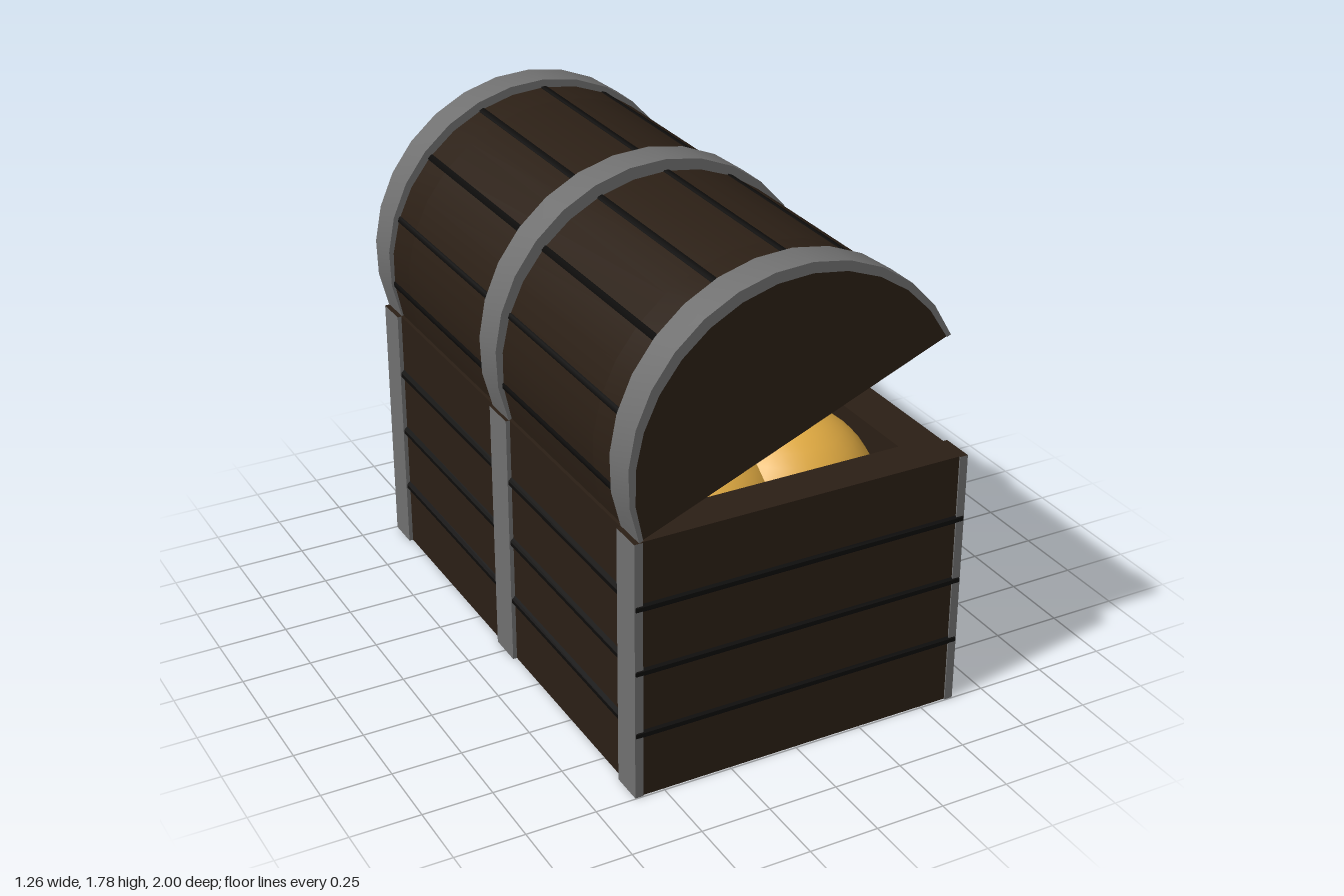
import * as THREE from 'three';
import { toCreasedNormals } from 'three/addons/utils/BufferGeometryUtils.js';

const material = (color) => new THREE.MeshStandardMaterial({ color });

export function createModel() {
  const wood = material(0x2b1f15);
  const dark = material(0x0d0c0b);
  const iron = material(0x707070);
  const gold = material(0xe0aa42);

  const model = new THREE.Group();
  model.name = 'treasureChest';

  const add = (parent, name, geometry, mat, x = 0, y = 0, z = 0) => {
    const mesh = new THREE.Mesh(geometry, mat);
    mesh.name = name;
    mesh.position.set(x, y, z);
    parent.add(mesh);
    return mesh;
  };

  // Rectangular outline with half sizes w and d
  const rectPoints = (w, d) =>
    [[-w, -d], [w, -d], [w, d], [-w, d]].map(([x, y]) => new THREE.Vector2(x, y));

  // Upright rectangular frame, starting at y = 0
  const frame = (w, d, holeW, holeD, options) => {
    const shape = new THREE.Shape(rectPoints(w, d));
    shape.holes.push(new THREE.Path(rectPoints(holeW, holeD)));
    const geometry = new THREE.ExtrudeGeometry(shape, options);
    geometry.rotateX(-Math.PI / 2);
    return geometry;
  };

  // --- Open box ---
  const box = new THREE.Group();
  box.name = 'chestBox';
  box.position.x = 0.012;
  model.add(box);
  const halfW = 0.603, halfD = 0.992, height = 0.95;
  add(box, 'boxWalls', frame(halfW, halfD, 0.45, 0.84, { depth: height, bevelEnabled: false }), wood);
  add(box, 'boxFloor', new THREE.BoxGeometry(1.0, 0.1, 1.8), wood, 0, 0.052, 0);

  // Pointed dark seams running round the box between the planks
  const bevel = 0.014;
  for (const y of [0.24, 0.475, 0.713]) {
    const seam = frame(halfW - 0.002, halfD - 0.006, 0.5, 0.9, {
      depth: 0.014, bevelSize: bevel, bevelThickness: bevel, bevelSegments: 1,
    });
    add(box, 'plankSeam', seam, dark, 0, y - 0.007, 0);
  }

  // Upright iron straps, with wood-coloured ends
  const strapMaterials = [iron, iron, wood, wood, iron, iron];
  const strapZ = [-0.937, 0, 0.937];
  for (const side of [-1, 1]) {
    for (const z of strapZ) {
      add(box, 'boxStrap', new THREE.BoxGeometry(0.03, height, z ? 0.12 : 0.13),
        strapMaterials, side * 0.603, height / 2, z);
    }
  }

  // --- Arched lid, hinged open along the -x edge ---
  const lid = new THREE.Group();
  lid.name = 'lid';
  lid.position.set(-0.03, 1.182, 0);
  lid.rotation.z = 0.389;
  model.add(lid);

  // Points of an arc over a chord of half width a, with rise h, from +x to -x
  const arc = (a, h, segments = 14) => {
    const r = (a * a + h * h) / (2 * h);
    const start = Math.atan2(r - h, a);
    return Array.from({ length: segments + 1 }, (_, i) => {
      const t = start + (Math.PI - 2 * start) * i / segments;
      return new THREE.Vector2(r * Math.cos(t), h - r + r * Math.sin(t));
    });
  };

  const extrudeZ = (points, depth) => {
    const geometry = new THREE.ExtrudeGeometry(new THREE.Shape(points), { depth, bevelEnabled: false });
    geometry.translate(0, 0, -depth / 2);
    return toCreasedNormals(geometry, 0.4);
  };

  // Middle section with a shallow recess below, closed by solid ends
  const lidA = 0.598, lidH = 0.555;
  const recess = [[-0.46, 0], [-0.46, 0.1], [0.46, 0.1], [0.46, 0]].map(([x, y]) => new THREE.Vector2(x, y));
  add(lid, 'lidMiddle', extrudeZ([...arc(lidA, lidH), ...recess], 1.46), wood);
  for (const side of [-1, 1]) {
    add(lid, 'lidEnd', extrudeZ(arc(lidA, lidH), 0.265), wood, 0, 0, side * 0.8625);
  }

  // Dark seams along the lid
  const lidR = (lidA * lidA + lidH * lidH) / (2 * lidH);
  for (let k = -3; k <= 3; k++) {
    const angle = Math.PI / 2 + k * 0.425;
    const r = lidR - 0.012;
    const seamGeometry = new THREE.CylinderGeometry(0.018, 0.018, 1.96, 6);
    seamGeometry.rotateX(Math.PI / 2);
    const seam = add(lid, 'lidSeam', seamGeometry, dark,
      r * Math.cos(angle), lidH - lidR + r * Math.sin(angle), 0);
    seam.rotation.z = angle;
  }

  // Curved iron straps
  for (const z of strapZ) {
    const outer = z ? arc(0.605, 0.587) : arc(0.61, 0.6);
    const inner = arc(lidA - 0.008, lidH - 0.008).reverse();
    add(lid, 'lidStrap', extrudeZ([...outer, ...inner], z ? 0.125 : 0.13), iron, 0, 0, z);
  }

  // --- Heaped gold ---
  const balls = [
    [0.474, 0.015, 0.802, 0],
    [0.49, 0.015, 0.665, -0.46],
    [0.325, -0.19, 0.71, 0.58],
    [0.325, 0.18, 0.71, 0.58],
  ];
  for (const [r, x, y, z] of balls) {
    add(model, 'goldHeap', new THREE.SphereGeometry(r, 32, 20), gold, x, y, z);
  }

  return model;
}
